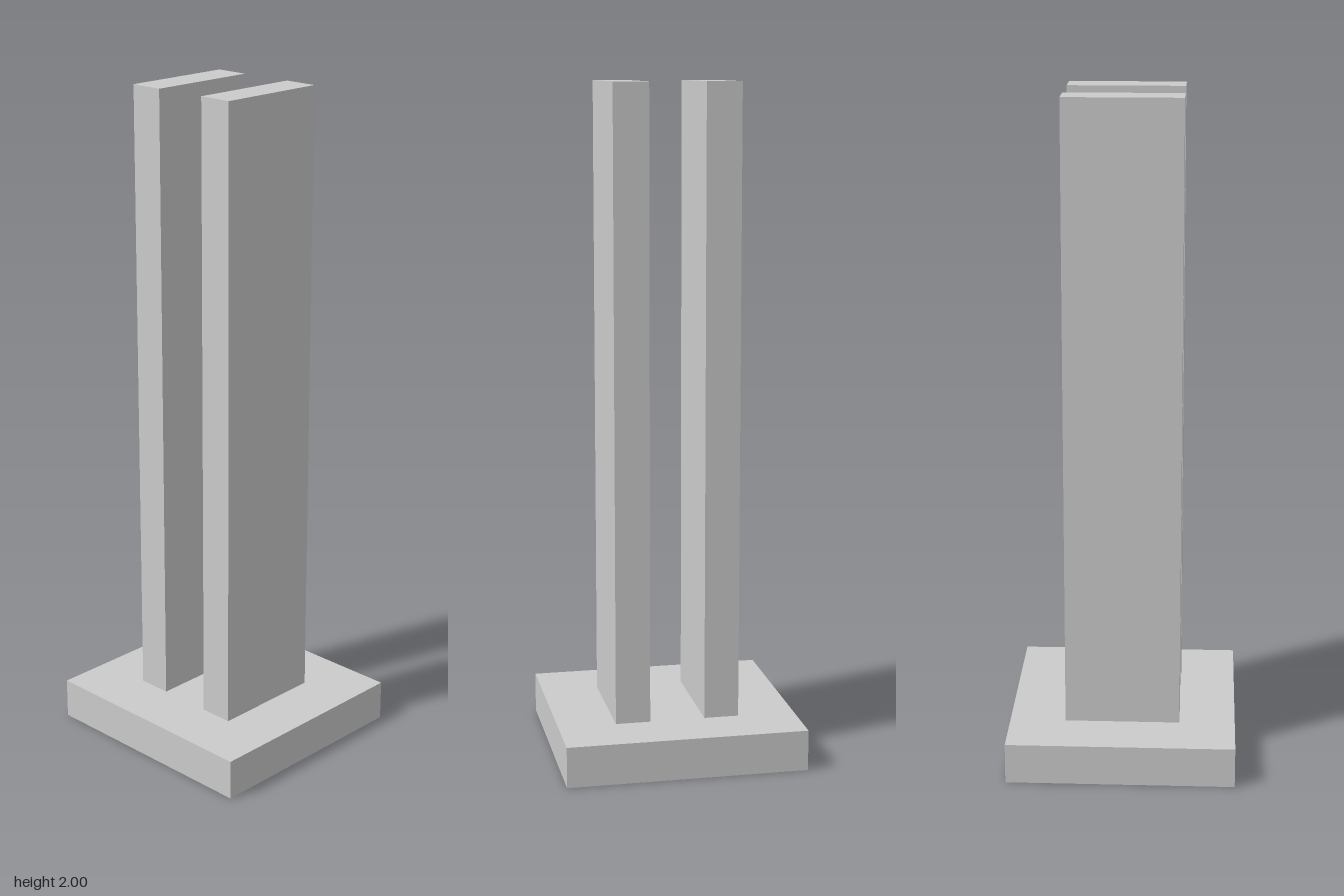
import * as THREE from 'three';

export function createModel() {
  const group = new THREE.Group();
  const material = new THREE.MeshStandardMaterial({ color: 0xcccccc, flatShading: true });

  // Adds a box standing on height y
  function addBox(name, width, height, depth, x, y) {
    const mesh = new THREE.Mesh(new THREE.BoxGeometry(width, height, depth), material);
    mesh.name = name;
    mesh.position.set(x, y + height / 2, 0);
    group.add(mesh);
  }

  // Base slab
  const baseHeight = 0.122;
  addBox('base', 0.718, baseHeight, 0.68, 0, 0);

  // Twin slab towers
  for (const side of [1, -1]) {
    addBox(side > 0 ? 'leftTower' : 'rightTower', 0.104, 2 - baseHeight, 0.345, side * 0.1345, baseHeight);
  }
  return group;
}
